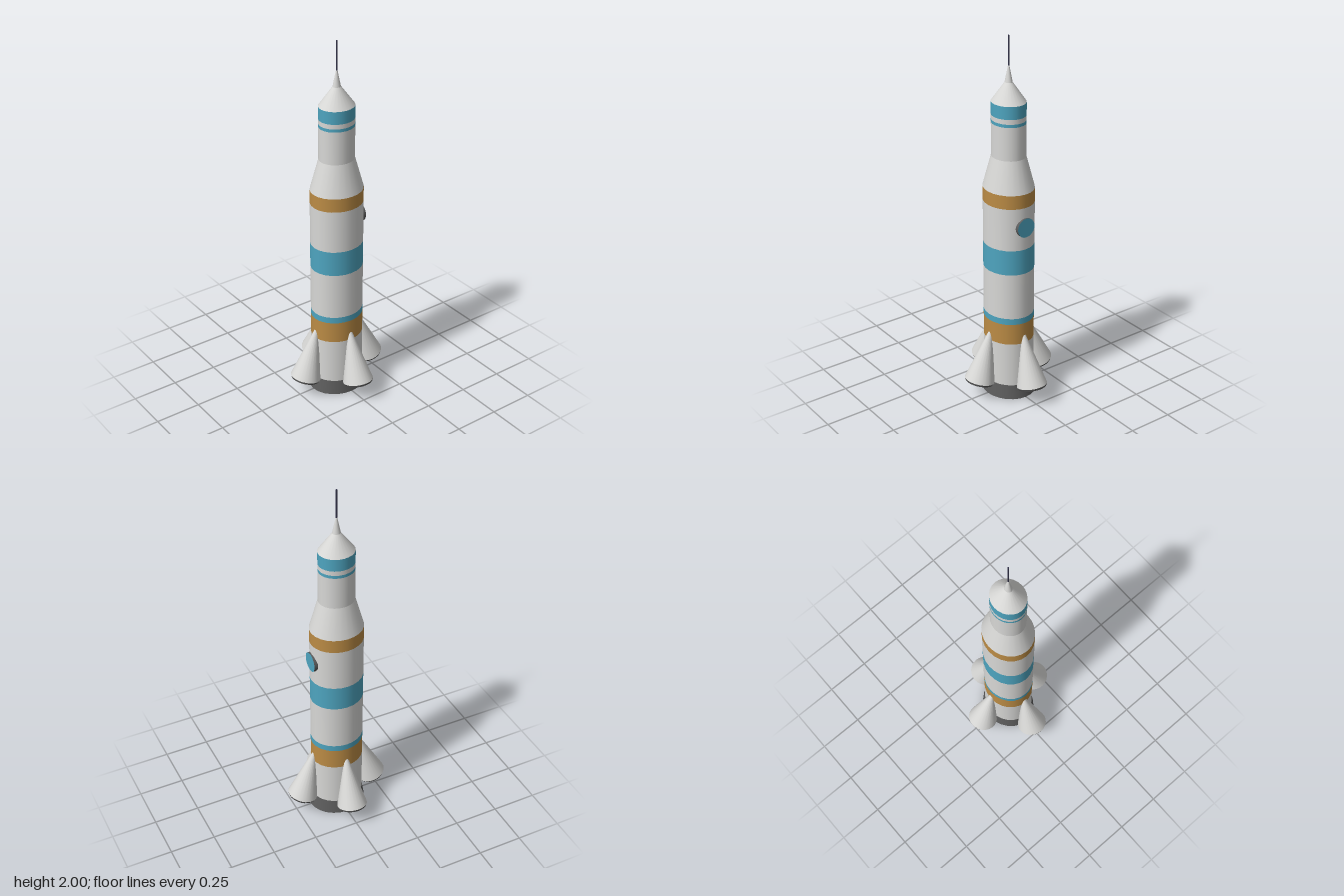
import * as THREE from 'three';

const paint = (name, color) => {
  const m = new THREE.MeshStandardMaterial({ color });
  m.name = name;
  return m;
};

export function createModel() {
  const white = paint('hull white', 0xd8d8d6);
  const teal = paint('teal', 0x4ea5c0);
  const orange = paint('ochre', 0xbc8c45);
  const dark = paint('engine grey', 0x5c5c5c);
  const navy = paint('antenna navy', 0x33334a);
  const SIDES = 24;

  const rocket = new THREE.Group();
  rocket.name = 'rocket';
  const add = (parent, name, geometry, material) => {
    const mesh = new THREE.Mesh(geometry, material);
    mesh.name = name;
    parent.add(mesh);
    return mesh;
  };

  // Hull: stacked rings, slightly narrower front to back
  const hull = new THREE.Group();
  hull.name = 'hull';
  hull.scale.z = 0.9;
  rocket.add(hull);
  const ring = (name, y0, y1, r0, r1, material, open = true) => {
    const mesh = add(hull, name, new THREE.CylinderGeometry(r1, r0, y1 - y0, SIDES, 1, open), material);
    mesh.position.y = (y0 + y1) / 2;
  };

  ring('engineSkirt', 0, 0.08, 0.159, 0.146, dark, false);
  const R = 0.145;
  [
    ['lowerHull', 0.08, 0.335, white],
    ['lowerOchreBand', 0.335, 0.455, orange],
    ['lowerTealBand', 0.455, 0.49, teal],
    ['middleHull', 0.49, 0.75, white],
    ['wideTealBand', 0.75, 0.89, teal],
    ['upperHull', 0.89, 1.125, white],
    ['upperOchreBand', 1.125, 1.2, orange],
  ].forEach(([name, y0, y1, m]) => ring(name, y0, y1, R, R, m));

  ring('shoulder', 1.2, 1.37, R, 0.097, white);

  const r = 0.097;
  [
    ['capsule', 1.37, 1.55, white],
    ['thinTealStripe', 1.55, 1.567, teal],
    ['capsuleGap', 1.567, 1.592, white],
    ['capsuleTealBand', 1.592, 1.66, teal],
  ].forEach(([name, y0, y1, m]) => ring(name, y0, y1, r, r, m));

  // Nose and antenna
  ring('noseCone', 1.66, 1.76, r, 0.022, white);
  ring('noseTip', 1.76, 1.845, 0.022, 0.004, white);
  ring('antenna', 1.835, 2, 0.004, 0.004, navy, false);

  // Porthole on the left side: grey rim, teal glass
  const porthole = add(rocket, 'porthole',
    new THREE.CylinderGeometry(0.053, 0.053, 0.022, 24), [dark, teal, dark]);
  porthole.rotation.z = -Math.PI / 2;
  porthole.position.set(0.141, 1.015, 0);

  // Four conical boosters leaning in against the hull
  for (let i = 0; i < 4; i++) {
    const booster = new THREE.Group();
    booster.name = 'booster' + (i + 1);
    booster.rotation.y = i * Math.PI / 2;
    rocket.add(booster);

    const lean = new THREE.Group();
    lean.name = 'boosterBody';
    lean.position.set(i % 2 ? 0.196 : 0.211, 0.105, 0);
    lean.rotation.z = 0.27;
    booster.add(lean);

    const cone = add(lean, 'boosterCone', new THREE.CylinderGeometry(0.005, 0.083, 0.305, SIDES, 1, true), white);
    cone.position.y = 0.1525;
    const nozzle = add(lean, 'boosterBase', new THREE.CylinderGeometry(0.083, 0.077, 0.012, SIDES), dark);
    nozzle.position.y = -0.006;
  }

  return rocket;
}
